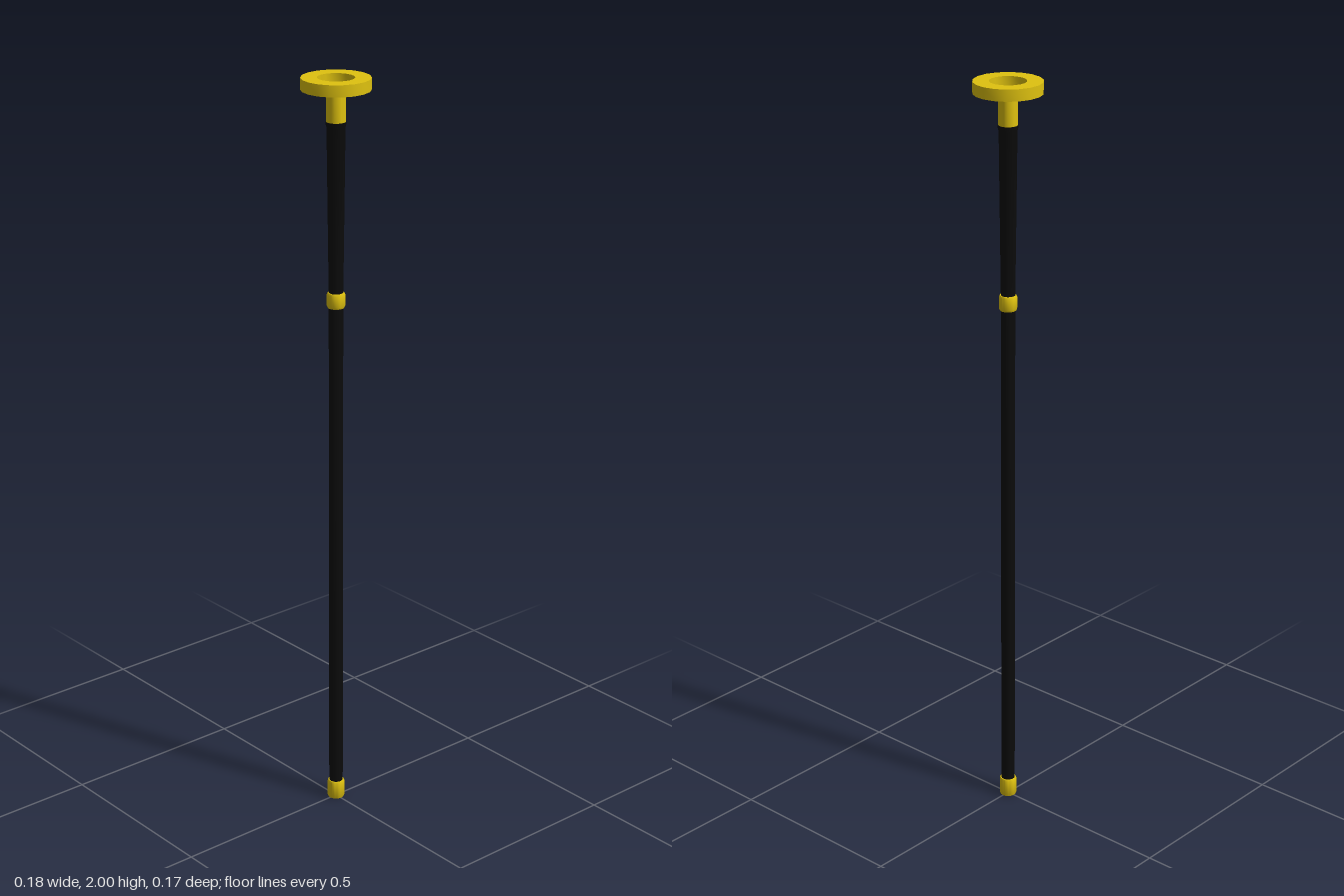
import * as THREE from 'three';
import { toCreasedNormals } from 'three/addons/utils/BufferGeometryUtils.js';

const SIDES = 18;
const gold = new THREE.MeshStandardMaterial({ color: 0xdfc210, side: THREE.DoubleSide });
const black = new THREE.MeshStandardMaterial({ color: 0x0b0b0b, side: THREE.DoubleSide });

// Turned part from a profile of [radius, height] points, listed from the bottom up
function turned(name, material, profile) {
  const points = profile.map(([r, y]) => new THREE.Vector2(r, y));
  const geometry = new THREE.LatheGeometry(points, SIDES);
  geometry.rotateY(Math.PI / 2); // a corner points to the side
  const mesh = new THREE.Mesh(toCreasedNormals(geometry, 0.6), material);
  mesh.name = name;
  return mesh;
}

export function createModel() {
  const group = new THREE.Group();
  group.name = 'cane';

  group.add(
    // metal tip at the foot
    turned('ferrule', gold, [[0, 0], [0.021, 0], [0.023, 0.004], [0.023, 0.046], [0.021, 0.051], [0.017, 0.051]]),
    // long lower rod
    turned('lowerShaft', black, [[0.0185, 0.045], [0.0185, 1.415]]),
    // joint between the two rods
    turned('jointCollar', gold, [[0.018, 1.41], [0.021, 1.41], [0.0235, 1.415], [0.0235, 1.445], [0.021, 1.45], [0.018, 1.45]]),
    // upper rod, widening slightly to its rim
    turned('upperShaft', black, [[0.0185, 1.445], [0.0235, 1.875], [0.026, 1.885], [0.026, 1.89], [0.02, 1.89]]),
    // plug closing the rod inside the hollow neck
    turned('plug', gold, [[0.02, 1.885], [0.018, 1.888], [0.014, 1.888], [0, 1.888]]),
    // hollow neck under the knob
    turned('neck', gold, [[0.0245, 1.89], [0.0245, 1.975]]),
    // flat round knob with a recess in its top
    turned('knob', gold, [[0.0245, 1.97], [0.088, 1.97], [0.088, 2], [0.047, 2], [0.047, 1.975], [0.0245, 1.975]])
  );
  return group;
}
